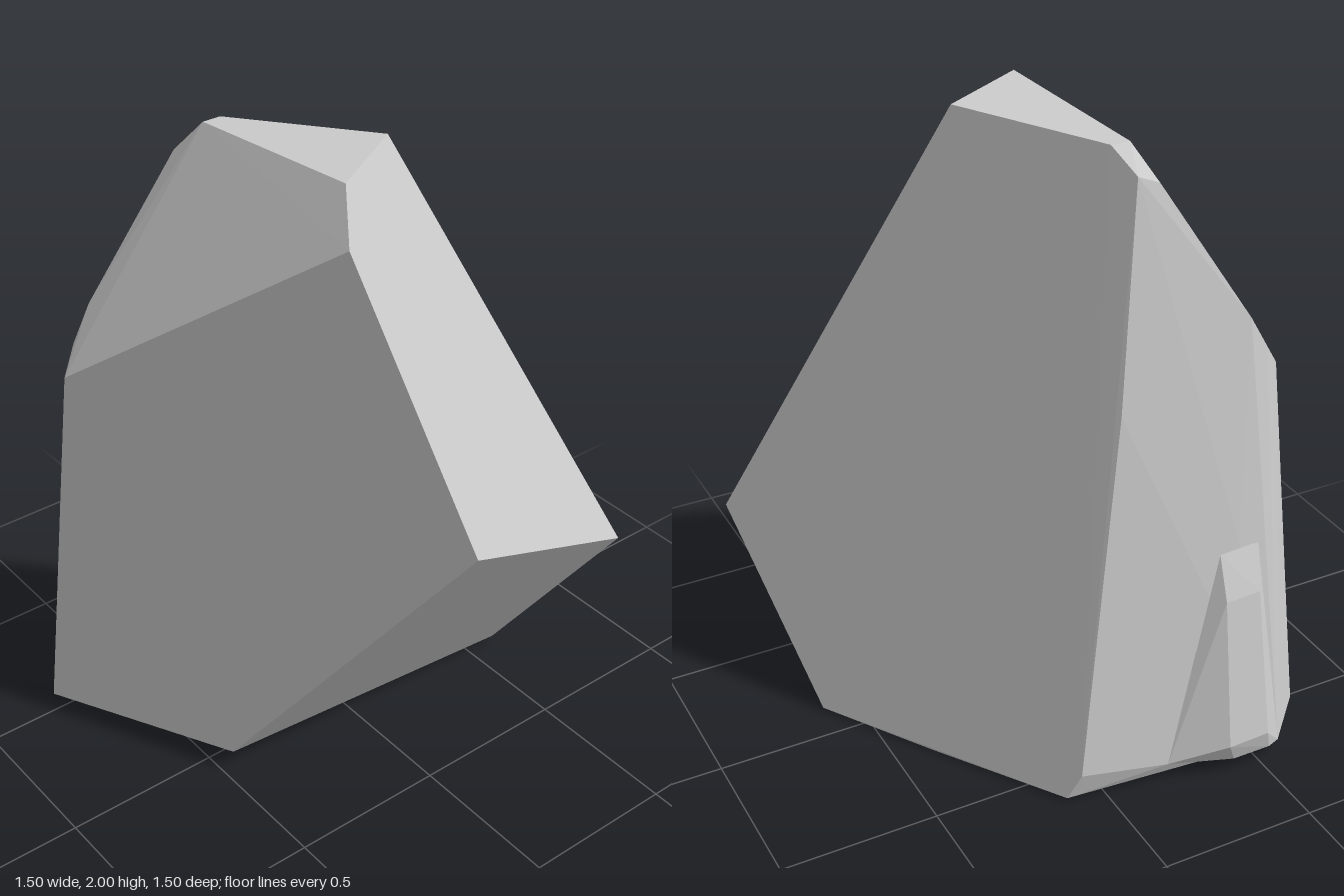
import * as THREE from 'three';
import { ConvexGeometry } from 'three/addons/geometries/ConvexGeometry.js';

const material = new THREE.MeshStandardMaterial({ color: 0xcccccc, flatShading: true });

// A faceted stone chunk: the hull of its corner points.
function chunk(name, corners) {
  const points = corners.map((c) => new THREE.Vector3(...c));
  const mesh = new THREE.Mesh(new ConvexGeometry(points), material);
  mesh.name = name;
  return mesh;
}

export function createModel() {
  const rock = new THREE.Group();
  rock.name = 'rock';

  // Main slab, leaning, with large flat cuts
  rock.add(chunk('rockBody', [
    // crown
    [0.06, 2, -0.15], [0.23, 2, 0.135], [-0.36, 1.98, 0.18], [-0.36, 1.98, 0.12],
    [-0.44, 1.91, 0.16], [-0.44, 1.88, 0.23],
    // shoulders and flank ridge
    [0.34, 1.87, 0.21], [-0.47, 1.25, 0.635], [-0.505, 1.33, 0.575], [-0.51, 1.44, 0.51],
    [-0.53, 1.24, 0.08], [0.75, 1.04, 0.08], [0.52, 0.6, -0.75], [-0.61, 0.76, 0.45],
    // foot
    [0.08, 0.06, 0.46], [-0.54, 0.03, 0.745], [-0.71, 0.04, 0.58], [-0.675, 0.06, 0.2],
    [-0.645, 0.1, -0.085], [-0.62, 0.01, -0.12], [-0.22, 0, -0.38], [0.12, 0.01, -0.61],
  ]));

  // Low bulge on the narrow side
  rock.add(chunk('sideBulge', [
    [-0.62, 0.74, 0.38], [-0.61, 0.74, 0.52], [-0.67, 0.6, 0.38], [-0.665, 0.6, 0.5],
    [-0.755, 0.12, 0.37], [-0.75, 0.12, 0.51], [-0.735, 0.05, 0.4], [-0.735, 0.05, 0.53],
    [-0.71, 0.04, 0.58], [-0.675, 0.06, 0.2], [-0.55, 0.03, 0.3], [-0.55, 0.04, 0.6],
  ]));

  return rock;
}
